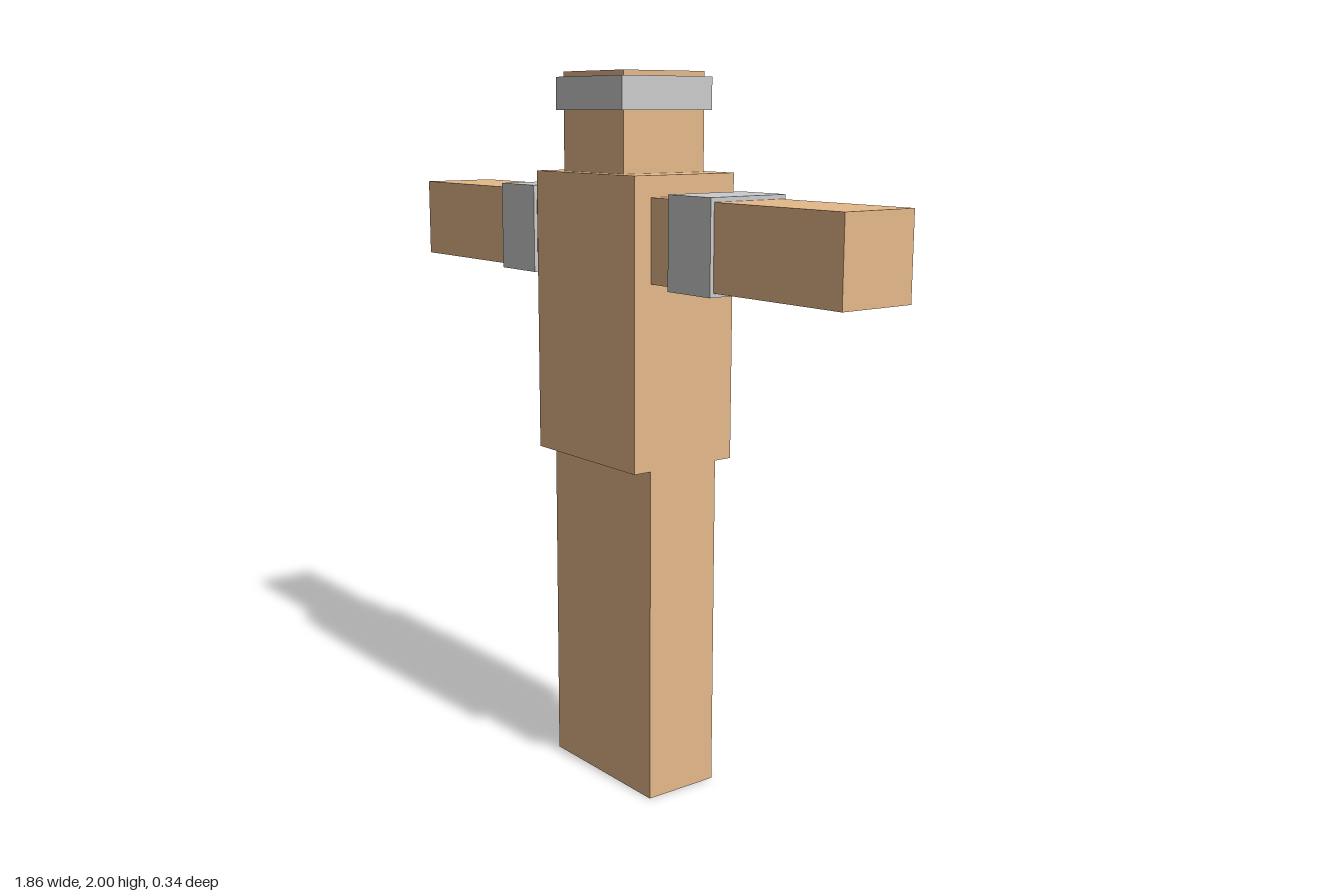
import * as THREE from 'three';

const wood = new THREE.MeshStandardMaterial({ color: 0xe6b98a, flatShading: true });
const grey = new THREE.MeshStandardMaterial({ color: 0xcccccc, flatShading: true });

// Block given by its x range, y range and full depth, centred on z = 0
function block(name, material, [x0, x1], [y0, y1], depth) {
  const mesh = new THREE.Mesh(new THREE.BoxGeometry(x1 - x0, y1 - y0, depth), material);
  mesh.name = name;
  mesh.position.set((x0 + x1) / 2, (y0 + y1) / 2, 0);
  return mesh;
}

export function createModel() {
  const model = new THREE.Group();
  model.name = 'blockFigure';

  // Body and head
  model.add(
    block('legs', wood, [-0.225, 0.225], [0, 0.946], 0.226),
    block('torso', wood, [-0.225, 0.225], [0.946, 1.733], 0.336),
    block('head', wood, [-0.136, 0.136], [1.733, 2], 0.272),
    block('headBand', grey, [-0.151, 0.151], [1.898, 1.986], 0.302),
  );

  // Arms with their bands, mirrored left and right
  for (const [side, s] of [['left', 1], ['right', -1]]) {
    const span = (a, b) => (s > 0 ? [a, b] : [-b, -a]);
    model.add(
      block(side + 'Arm', wood, span(0.225, 0.929), [1.451, 1.676], 0.226),
      block(side + 'ArmBand', grey, span(0.309, 0.478), [1.44, 1.688], 0.248),
    );
  }
  return model;
}
